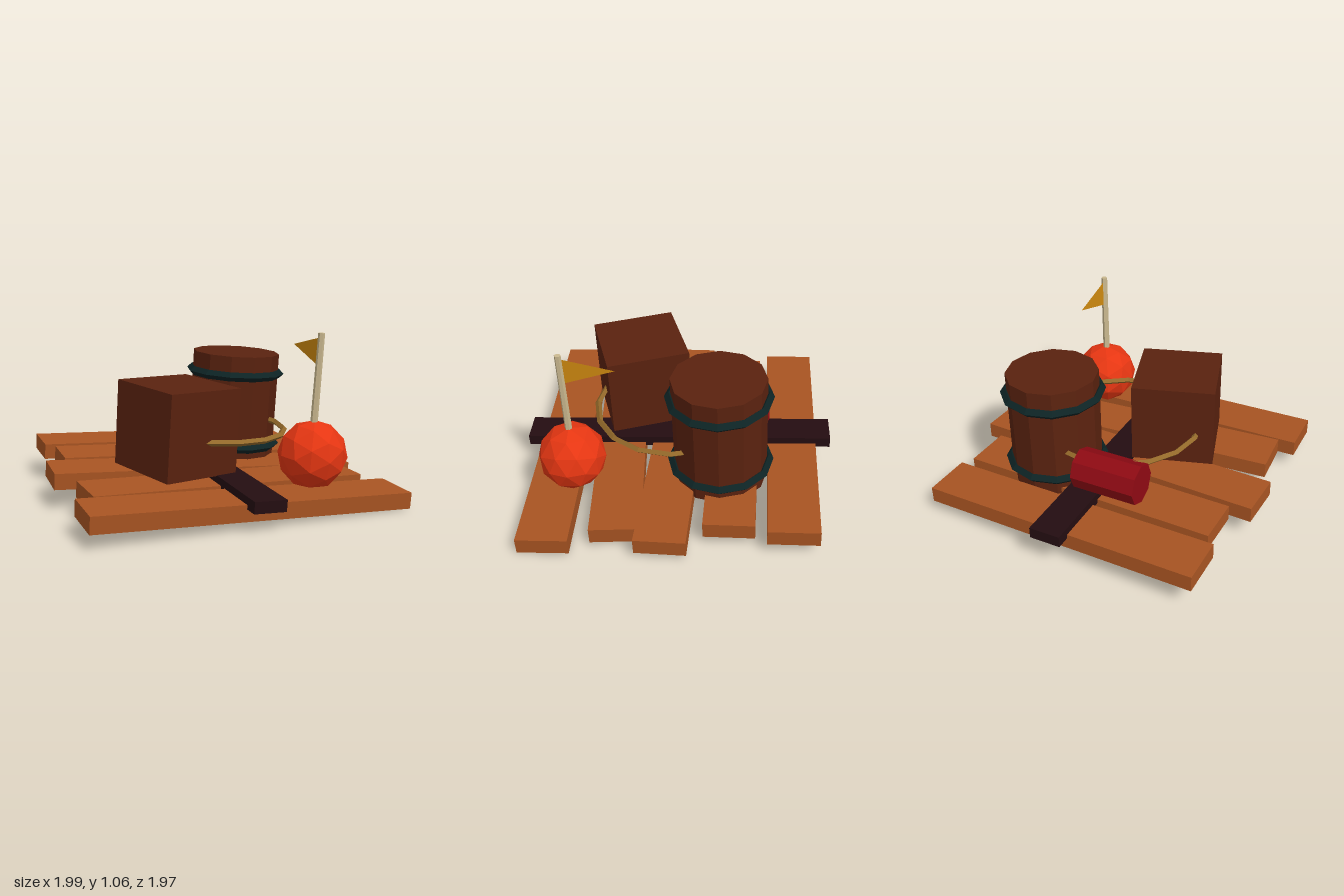
import * as THREE from 'three';

const mat = (name, color, opts = {}) => {
  const m = new THREE.MeshStandardMaterial({ color, flatShading: true, ...opts });
  m.name = name;
  return m;
};

export function createModel() {
  const plankWood = mat('plankWood', 0xa85422);
  const beamWood = mat('beamWood', 0x240d11);
  const darkWood = mat('darkWood', 0x5a220f);
  const hoopMetal = mat('hoopMetal', 0x0d2324);
  const buoyRed = mat('buoyRed', 0xe63612);
  const canRed = mat('canRed', 0x8f0a13);
  const poleWood = mat('poleWood', 0xcbb98f);
  const flagCloth = mat('flagCloth', 0xcf8a10, { side: THREE.DoubleSide });
  const ropeFibre = mat('ropeFibre', 0x93692a);

  const raft = new THREE.Group();
  raft.name = 'raft';
  const add = (name, geometry, material, x, y, z) => {
    const mesh = new THREE.Mesh(geometry, material);
    mesh.name = name;
    mesh.position.set(x, y, z);
    raft.add(mesh);
    return mesh;
  };

  // Deck planks, back to front: [length, yaw]
  [[1.79, -0.014], [1.69, -0.025], [1.975, -0.05], [1.79, 0.058], [1.985, 0.003]].forEach(([length, yaw], i) => {
    add('plank' + (i + 1), new THREE.BoxGeometry(length, 0.1, 0.31), plankWood, 0, 0, -0.745 + i * 0.37).rotation.y = yaw;
  });

  // Beam tying the planks together
  add('crossBeam', new THREE.BoxGeometry(0.2, 0.07, 1.97), beamWood, 0, 0.06, -0.005);

  // Barrel with two hoops
  add('barrel', new THREE.CylinderGeometry(0.29, 0.29, 0.72, 12), darkWood, 0.325, 0.37, -0.293);
  for (const y of [0.12, 0.6]) {
    add('barrelHoop', new THREE.TorusGeometry(0.3, 0.03, 4, 12), hoopMetal, 0.325, y, -0.293).rotation.x = Math.PI / 2;
  }

  // Crate
  add('crate', new THREE.BoxGeometry(0.52, 0.52, 0.53), darkWood, -0.285, 0.352, 0.24).rotation.y = 0.3;

  // Fuel can lying on its side
  add('fuelCan', new THREE.CylinderGeometry(0.13, 0.13, 0.42, 8), canRed, -0.163, 0.215, -0.472).rotation.z = Math.PI / 2;

  // Rope loop
  add('ropeLoop', new THREE.TorusGeometry(0.508, 0.02, 4, 16), ropeFibre, 0, 0.3, 0).rotation.x = Math.PI / 2;

  // Buoy with flagpole and pennant
  add('buoy', new THREE.IcosahedronGeometry(0.21, 1), buoyRed, 0.449, 0.24, 0.61);
  add('flagPole', new THREE.CylinderGeometry(0.02, 0.023, 0.73, 6), poleWood, 0.441, 0.607, 0.612);
  const pennant = new THREE.Shape([
    new THREE.Vector2(0, 0.085), new THREE.Vector2(0, -0.085), new THREE.Vector2(0.31, 0.003),
  ]);
  add('pennant', new THREE.ShapeGeometry(pennant), flagCloth, 0.441, 0.86, 0.603).rotation.y = Math.PI / 2;

  // The whole raft lists slightly on the water
  raft.rotation.set(0.043, 0, -0.045);
  raft.position.y = 0.137;

  const model = new THREE.Group();
  model.name = 'loadedRaft';
  model.add(raft);
  return model;
}
